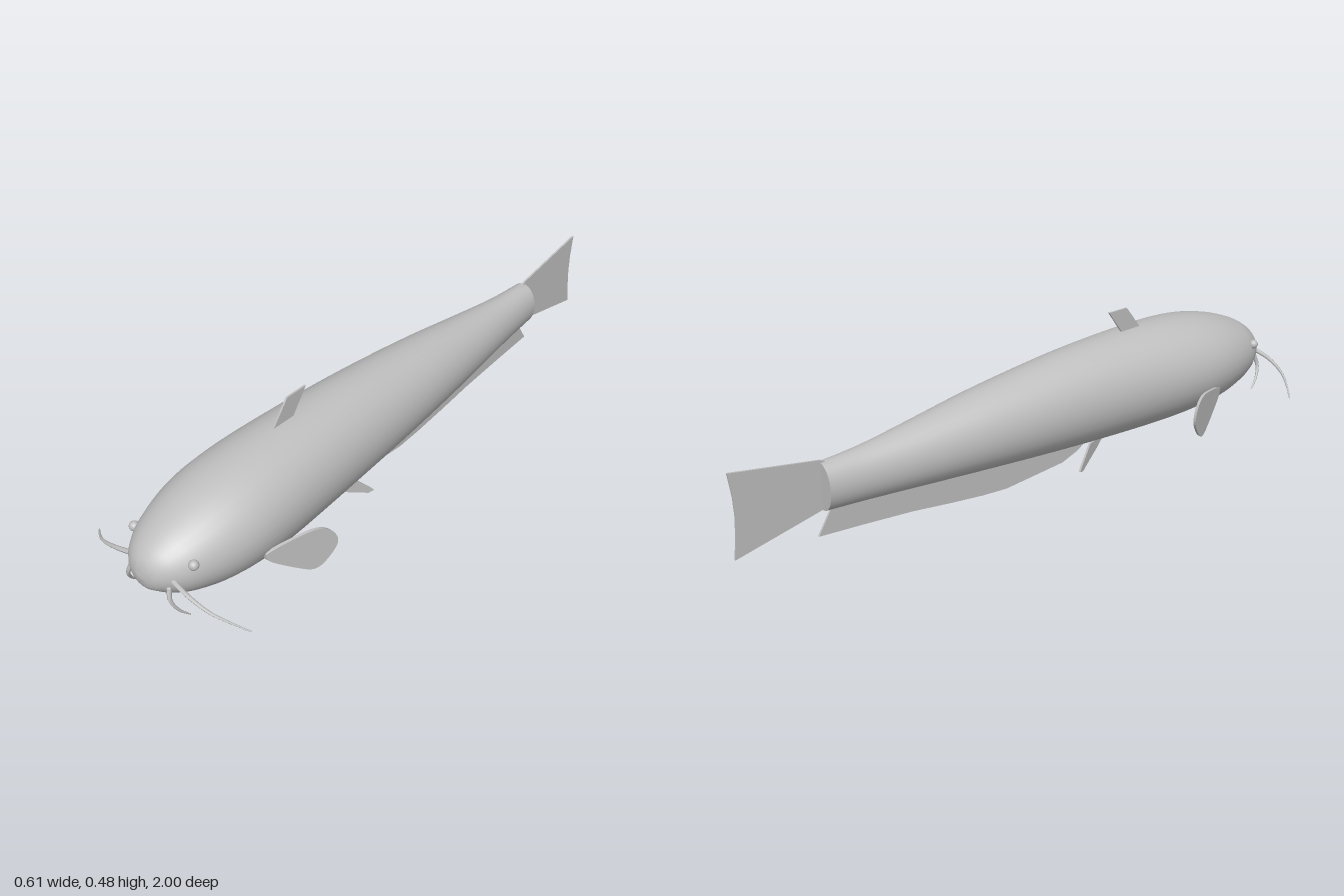
import * as THREE from 'three';
import { toCreasedNormals } from 'three/addons/utils/BufferGeometryUtils.js';

const V = (x, y, z) => new THREE.Vector3(x, y, z);

// Moves every vertex of a geometry by a rule
function deform(geo, rule) {
  const pos = geo.attributes.position, v = V(0, 0, 0);
  for (let i = 0; i < pos.count; i++) {
    rule(v.fromBufferAttribute(pos, i), i);
    pos.setXYZ(i, v.x, v.y, v.z);
  }
  geo.computeVertexNormals();
  return geo;
}

// Body stations from nose to tail: z, half width, top, bottom
const STATIONS = [
  [1.0, 0, 0.222, 0.222], [0.99, 0.042, 0.262, 0.184], [0.97, 0.073, 0.29, 0.164],
  [0.94, 0.1, 0.313, 0.142], [0.89, 0.129, 0.34, 0.118], [0.8, 0.158, 0.372, 0.092],
  [0.7, 0.173, 0.393, 0.078], [0.58, 0.173, 0.404, 0.071], [0.42, 0.162, 0.406, 0.071],
  [0.2, 0.146, 0.398, 0.08], [0, 0.131, 0.38, 0.094], [-0.2, 0.112, 0.357, 0.11],
  [-0.4, 0.087, 0.328, 0.126], [-0.58, 0.063, 0.305, 0.14], [-0.72, 0.049, 0.297, 0.149],
];
const uniformCurve = (pts) => new THREE.CatmullRomCurve3(pts, false, 'catmullrom', 0.5);
const spine = uniformCurve(STATIONS.map(([z, , t, b]) => V(0, (t + b) / 2, z)));
const girth = uniformCurve(STATIONS.map(([, w, t, b]) => V(w, (t - b) / 2, 0)));

function bodyGeometry() {
  const geo = new THREE.CylinderGeometry(1, 1, 1, 32, 56).rotateX(Math.PI / 2);
  deform(geo, (v) => {
    const t = THREE.MathUtils.clamp(0.5 - v.z, 0, 1);
    const c = spine.getPoint(t), r = girth.getPoint(t);
    v.set(v.x * r.x, c.y + v.y * r.y, c.z);
  });
  return toCreasedNormals(geo, 0.9);
}

// Thin plate outlined in (z, y), slanted sideways by offset(z, y)
function finGeometry(outline, thickness, { smooth = false, offset = () => 0 } = {}) {
  const pts = outline.map(([z, y]) => new THREE.Vector2(z, y));
  const shape = new THREE.Shape();
  if (smooth) {
    shape.moveTo(pts[0].x, pts[0].y);
    shape.splineThru(pts.slice(1));
  } else shape.setFromPoints(pts);
  const geo = new THREE.ExtrudeGeometry(shape, { depth: thickness, bevelEnabled: false, curveSegments: 24 });
  geo.translate(0, 0, -thickness / 2);
  geo.applyMatrix4(new THREE.Matrix4().makeBasis(V(0, 0, 1), V(0, 1, 0), V(-1, 0, 0)));
  deform(geo, (v) => { v.x += offset(v.z, v.y); });
  return toCreasedNormals(geo, 0.6);
}

// Whisker that narrows from root to tip
function whiskerGeometry(points, rootRadius, tipRadius) {
  const curve = new THREE.CatmullRomCurve3(points), steps = 16, sides = 8;
  const geo = new THREE.TubeGeometry(curve, steps, 1, sides);
  return deform(geo, (v, i) => {
    const t = Math.floor(i / (sides + 1)) / steps, c = curve.getPointAt(t);
    v.sub(c).multiplyScalar(THREE.MathUtils.lerp(rootRadius, tipRadius, t)).add(c);
  });
}

export function createModel() {
  const model = new THREE.Group();
  model.name = 'catfish';
  const skin = new THREE.MeshStandardMaterial({ color: 0xbfbfbf });
  skin.name = 'grey skin';
  const add = (name, geo) => {
    const mesh = new THREE.Mesh(geo, skin);
    mesh.name = name;
    model.add(mesh);
    return mesh;
  };

  add('body', bodyGeometry());

  // Fins on the centre line
  add('tailFin', finGeometry(
    [[-0.7, 0.295], [-0.72, 0.305], [-1, 0.355], [-0.99, 0.28], [-0.988, 0.22], [-0.992, 0.16], [-1, 0.093], [-0.72, 0.152], [-0.7, 0.16]], 0.006));
  add('dorsalFin', finGeometry(
    [[0.48, 0.395], [0.475, 0.41], [0.42, 0.481], [0.345, 0.481], [0.4, 0.405], [0.4, 0.395]], 0.006));
  add('bellyFin', finGeometry(
    [[0.3, 0.09], [0.22, 0.04], [0.16, 0.018], [0.06, 0.01], [-0.07, 0], [-0.16, 0.007], [-0.28, 0.022],
      [-0.42, 0.042], [-0.58, 0.058], [-0.74, 0.072], [-0.69, 0.155], [-0.4, 0.145], [0, 0.115]], 0.006));

  // Paired parts
  for (const [side, s] of [['left', 1], ['right', -1]]) {
    add(side + 'PectoralFin', finGeometry(
      [[0.695, 0.185], [0.64, 0.203], [0.56, 0.216], [0.515, 0.195], [0.498, 0.145], [0.53, 0.092],
        [0.565, 0.072], [0.61, 0.095], [0.685, 0.155], [0.695, 0.185]],
      0.01, { smooth: true, offset: (z) => s * (0.165 + (0.69 - z) * 0.43) }));

    add(side + 'PelvicFin', finGeometry(
      [[0.315, 0.085], [0.22, 0.088], [0.17, 0.035], [0.157, 0.018], [0.175, 0.013], [0.22, 0.035], [0.27, 0.058]],
      0.008, { offset: (z) => s * (0.15 - 0.4 * z) }));

    const whiskers = {
      LongWhisker: [[0.085, 0.227, 0.953], [0.14, 0.214, 0.957], [0.21, 0.188, 0.946], [0.26, 0.163, 0.92], [0.302, 0.136, 0.89]],
      ShortWhisker: [[0.074, 0.2, 0.962], [0.083, 0.168, 0.97], [0.095, 0.13, 0.955], [0.104, 0.095, 0.925]],
    };
    for (const [name, path] of Object.entries(whiskers)) {
      const pts = path.map(([x, y, z]) => V(s * x, y, z));
      add(side + name, whiskerGeometry(pts, 0.0075, 0.002));
      add(side + name + 'Root', new THREE.SphereGeometry(0.0075, 10, 8)).position.copy(pts[0]);
    }

    add(side + 'Eye', new THREE.SphereGeometry(0.015, 16, 12)).position.set(s * 0.116, 0.27, 0.905);
  }
  return model;
}
